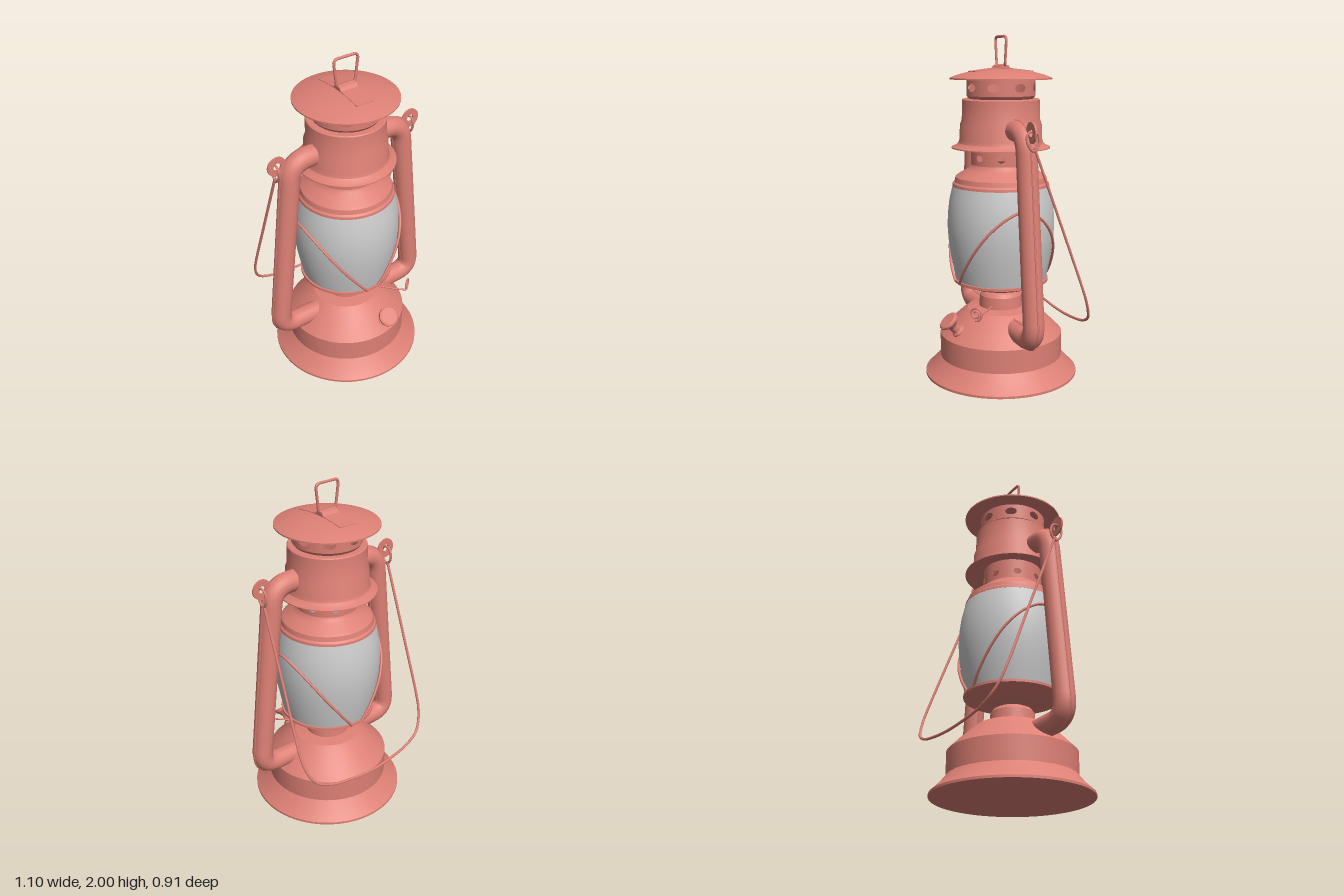
import * as THREE from 'three';
import { toCreasedNormals } from 'three/addons/utils/BufferGeometryUtils.js';
import { ParametricGeometry } from 'three/addons/geometries/ParametricGeometry.js';

const paint = new THREE.MeshStandardMaterial({ color: 0xdd8075, side: THREE.DoubleSide });
const glass = new THREE.MeshStandardMaterial({ color: 0xcccccc, side: THREE.DoubleSide });
const V = (x, y, z = 0) => new THREE.Vector3(x, y, z);

export function createModel() {
  const model = new THREE.Group();

  const add = (name, geometry, parent = model, material = paint) => {
    const mesh = new THREE.Mesh(geometry, material);
    mesh.name = name;
    parent.add(mesh);
    return mesh;
  };
  const lathe = (name, profile, material = paint, crease = 0.45) => {
    const points = profile.map(([r, y]) => new THREE.Vector2(r, y));
    return add(name, toCreasedNormals(new THREE.LatheGeometry(points, 72), crease), model, material);
  };
  const wire = (name, points, radius, segments, parent = model, closed = false) =>
    add(name, new THREE.TubeGeometry(new THREE.CatmullRomCurve3(points, closed, 'centripetal'),
      segments, radius, 8, closed), parent);

  // straight runs joined by rounded corners
  const roundedPath = (points, radius) => {
    const path = new THREE.CurvePath();
    let from = points[0];
    for (let i = 1; i < points.length - 1; i++) {
      const p = points[i];
      const a = p.clone().add(points[i - 1].clone().sub(p).setLength(radius));
      const b = p.clone().add(points[i + 1].clone().sub(p).setLength(radius));
      path.add(new THREE.LineCurve3(from, a));
      path.add(new THREE.QuadraticBezierCurve3(a, p, b));
      from = b;
    }
    path.add(new THREE.LineCurve3(from, points[points.length - 1]));
    return path;
  };

  // cylindrical band with a ring of oval holes, one curved panel per hole
  const perforatedBand = (name, r, y0, y1, holeY, holeW, holeH, count, offset) => {
    const group = new THREE.Group();
    group.name = name;
    const half = Math.PI / count;
    const panel = new ParametricGeometry((u, v, target) => {
      const c = Math.cos(u * Math.PI * 2), s = Math.sin(u * Math.PI * 2);
      const k = 1 / Math.max(Math.abs(c), Math.abs(s));
      const edgeY = (y0 + y1) / 2 + s * k * (y1 - y0) / 2;
      const angle = THREE.MathUtils.lerp(c * holeW / r, c * k * half, v);
      const y = THREE.MathUtils.lerp(holeY + s * holeH, edgeY, v);
      target.set(r * Math.sin(angle), y, r * Math.cos(angle));
    }, 32, 4);
    // radial normals keep the band smooth across panels
    const p = panel.attributes.position, n = panel.attributes.normal;
    const [a, b, c] = [0, 1, 2].map((i) => V(0, 0).fromBufferAttribute(p, panel.index.getX(i)));
    const sign = Math.sign(b.sub(a).cross(c.sub(a)).z) || 1;
    for (let i = 0; i < p.count; i++) n.setXYZ(i, sign * p.getX(i) / r, 0, sign * p.getZ(i) / r);
    for (let i = 0; i < count; i++) add(name + 'Panel', panel, group).rotation.y = offset + i * half * 2;
    model.add(group);
  };

  // fuel tank with flared foot and neck
  lathe('fuelTank', [[0, 0], [0.455, 0], [0.455, 0.014], [0.437, 0.03], [0.4, 0.068], [0.365, 0.112],
    [0.365, 0.25], [0.3, 0.315], [0.235, 0.375], [0.2, 0.4], [0.13, 0.412], [0.125, 0.48],
    [0.11, 0.5], [0.085, 0.512]]);
  lathe('globePlate', [[0, 0.505], [0.085, 0.508], [0.2, 0.54], [0.28, 0.57], [0.28, 0.585], [0, 0.585]]);

  // glass globe
  lathe('globe', [[0.268, 0.58], [0.283, 0.65], [0.298, 0.73], [0.31, 0.82], [0.315, 0.9],
    [0.312, 0.98], [0.302, 1.06], [0.282, 1.145]], glass, 1);

  // globe collar, chimney band, hood
  lathe('globeCollar', [[0.26, 1.14], [0.284, 1.14], [0.282, 1.155], [0.272, 1.165], [0.266, 1.192],
    [0.25, 1.205], [0.2, 1.235], [0.182, 1.25], [0.175, 1.265]]);
  perforatedBand('chimneyBand', 0.175, 1.255, 1.4, 1.308, 0.024, 0.019, 8, Math.PI / 8);
  lathe('hood', [[0.172, 1.385], [0.286, 1.36], [0.286, 1.366], [0.262, 1.376], [0.247, 1.39], [0.24, 1.41],
    [0.237, 1.495], [0.226, 1.525], [0.224, 1.637], [0.218, 1.642], [0.17, 1.643]]);
  lathe('ventFoot', [[0.18, 1.64], [0.188, 1.645], [0.198, 1.66]]);
  perforatedBand('ventBand', 0.198, 1.66, 1.76, 1.707, 0.035, 0.024, 8, 10 * Math.PI / 180);
  lathe('lid', [[0, 1.757], [0.295, 1.753], [0.295, 1.761], [0.25, 1.778], [0.18, 1.796],
    [0.09, 1.809], [0, 1.813]]);

  // folded strip on the lid and its lifting ring
  const strip = new THREE.Shape([[-0.18, 1.79], [0.18, 1.79], [0.18, 1.799], [0.035, 1.816], [0.022, 1.832],
    [0, 1.838], [-0.022, 1.832], [-0.035, 1.816], [-0.18, 1.799]].map(([x, y]) => new THREE.Vector2(x, y)));
  const stripGeometry = new THREE.ExtrudeGeometry(strip, { depth: 0.11, bevelEnabled: false });
  add('lidStrip', stripGeometry.translate(0, 0, -0.055).rotateY(Math.PI / 2));
  const ring = roundedPath([V(0, 1.823), V(-0.058, 1.823), V(-0.079, 1.992), V(0.079, 1.992),
    V(0.058, 1.823), V(0, 1.823)], 0.032);
  add('liftingRing', new THREE.TubeGeometry(ring, 90, 0.008, 8));

  // side parts, mirrored left and right
  const framePath = roundedPath([V(0.18, 1.476), V(0.368, 1.476), V(0.493, 0.327), V(0.2, 0.322)], 0.11);
  const eyelet = new THREE.Shape().absarc(0, 0, 0.058, 0, Math.PI * 2);
  eyelet.holes.push(new THREE.Path().absarc(0, 0, 0.022, 0, Math.PI * 2, true));
  const guardHalf = [[0.035, 0.575, 0.277], [0.1, 0.66, 0.278], [0.2, 0.8, 0.246],
    [0.265, 0.91, 0.186], [0.31, 1.0, 0.09]];
  for (const side of [1, -1]) {
    const group = new THREE.Group();
    group.name = side > 0 ? 'leftSide' : 'rightSide';
    model.add(group);

    // air tube with a pressed seam
    const tube = add('airTube', new THREE.TubeGeometry(framePath, 100, 0.06, 20), group);
    const seam = add('airTubeSeam', new THREE.TubeGeometry(framePath, 100, 0.067, 12), group);
    seam.scale.z = 0.2;
    for (const part of [tube, seam]) {
      part.rotation.y = side > 0 ? 0 : Math.PI;
      part.position.z = 0.013;
    }

    // eyelet for the carrying handle
    const ear = add('handleEyelet', new THREE.ExtrudeGeometry(eyelet,
      { depth: 0.01, bevelEnabled: false, curveSegments: 24 }), group);
    ear.position.set(side * 0.445 - 0.007, 1.483, 0.008);

    // hooked end of the carrying handle
    const hookX = side * 0.45 - 0.008;
    wire('handleHook', [V(hookX, 1.49, 0.015), V(hookX, 1.47, 0.04), V(hookX, 1.42, 0.035),
      V(hookX, 1.385, 0.002), V(hookX, 1.42, -0.03), V(hookX, 1.475, -0.022)], 0.007, 40, group, true);

    // arched wire guarding the globe
    const front = guardHalf.map(([x, y, z]) => V(side * x, y, z));
    const back = guardHalf.map(([x, y, z]) => V(side * x, y, -z)).reverse();
    wire('globeGuard', [...front, V(side * 0.325, 1.035, 0), ...back], 0.008, 90, group);
  }

  // carrying handle hanging behind
  const bailHalf = [[0.449, 1.4, -0.005], [0.454, 0.95, -0.175], [0.458, 0.6, -0.305], [0.452, 0.52, -0.335],
    [0.43, 0.445, -0.362], [0.39, 0.39, -0.384], [0.3, 0.345, -0.4], [0.165, 0.32, -0.41]];
  const bail = wire('carryingHandle', [...bailHalf.map(([x, y, z]) => V(x, y, z)), V(0, 0.308, -0.416),
    ...bailHalf.map(([x, y, z]) => V(-x, y, z)).reverse()], 0.008, 140);
  bail.position.x = -0.008;

  // tilted filler cap
  const cap = lathe('fillerCap', [[0, -0.06], [0.04, -0.06], [0.04, 0], [0.028, 0.01], [0.03, 0.045],
    [0.042, 0.065], [0.061, 0.08], [0.062, 0.092], [0.052, 0.099], [0, 0.099]]);
  cap.position.set(0.07, 0.307, 0.303);
  cap.rotation.x = 0.72;

  // wick lever ending in a spiral
  const curl = [V(0.07, 0.43, 0.08), V(0.16, 0.427, 0.17), V(0.24, 0.424, 0.25)];
  for (let i = 0; i <= 20; i++) {
    const a = -Math.PI / 2 + i / 20 * Math.PI * 3.4;
    const r = 0.042 - 0.03 * i / 20;
    curl.push(V(0.274 + 0.8 * r * Math.cos(a), 0.465 + r * Math.sin(a), 0.272 - 0.6 * r * Math.cos(a)));
  }
  wire('wickLever', curl, 0.005, 120);

  return model;
}
